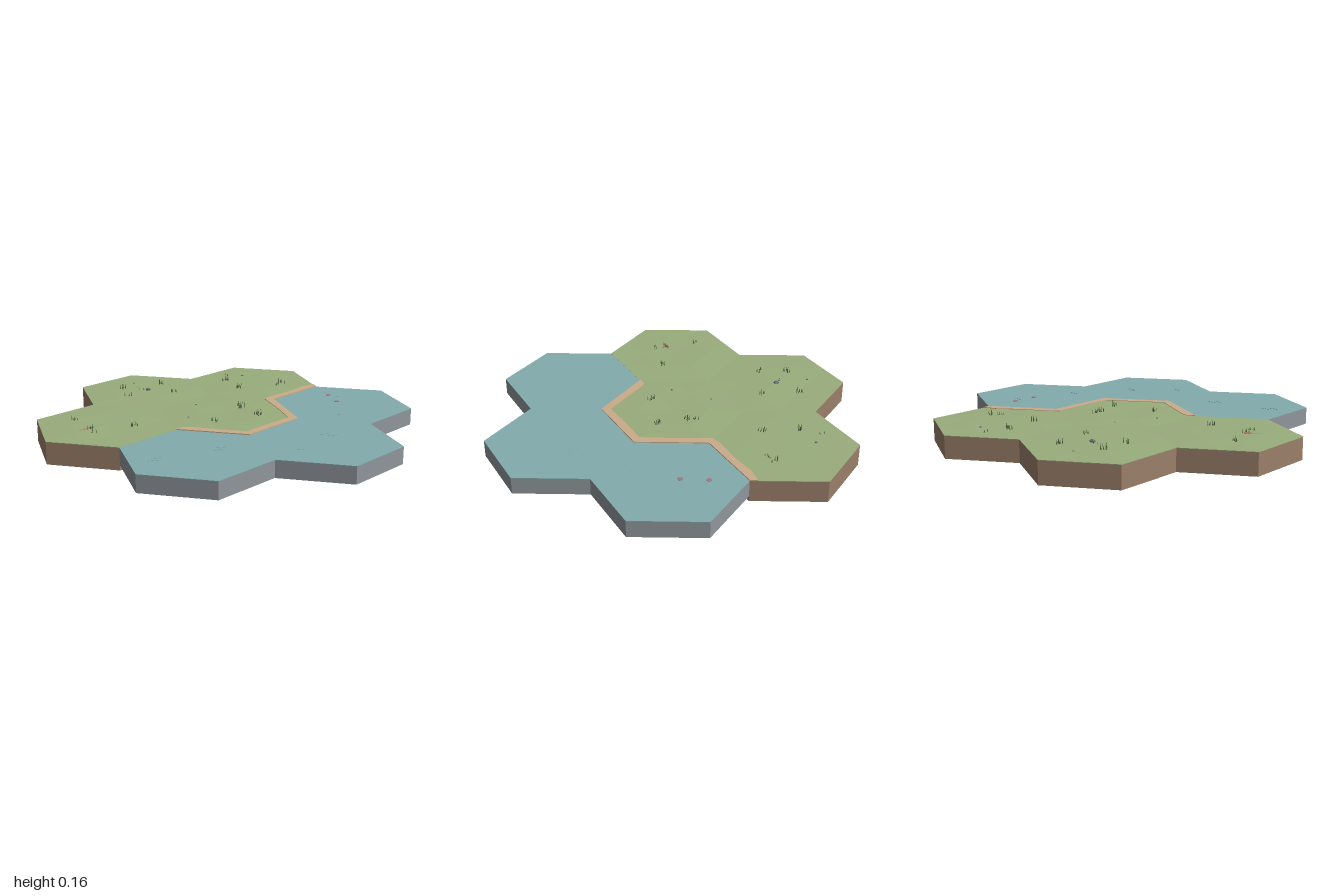
import * as THREE from 'three';
import { mergeGeometries } from 'three/addons/utils/BufferGeometryUtils.js';

const W = 1 / 3;               // half width of a hexagon
const R = W / Math.cos(Math.PI / 6); // corner radius
const LAND_Y = 0.12, WATER_Y = 0.119;

const mat = (name, color, extra = {}) => {
  const m = new THREE.MeshStandardMaterial({ color, flatShading: true, ...extra });
  m.name = name;
  return m;
};

// Small seeded generator
function seeded(seed) {
  let s = seed;
  return () => (s = (s * 16807) % 2147483647) / 2147483647;
}

// Hexagonal prism with corners pointing along z
function hexPrism([x, z], y0, y1) {
  return new THREE.CylinderGeometry(R, R, y1 - y0, 6).translate(x, (y0 + y1) / 2, z);
}

// Faceted hexagon top: flat at the rim, gently uneven inside
function hexTop([cx, cz], y, bump, rand) {
  const pos = [];
  const at = (i, r, h) => {
    const a = i * Math.PI / 3;
    return [cx + Math.sin(a) * r, y + h, cz + Math.cos(a) * r];
  };
  const centre = [cx, y + bump * rand(), cz];
  const spokes = [];
  for (let i = 0; i < 6; i++) spokes.push(at(i, R / 2, bump * rand()));
  for (let i = 0; i < 6; i++) {
    const a = spokes[i], b = spokes[(i + 1) % 6];
    const p = at(i, R, 0), q = at(i + 1, R, 0);
    const m = [(p[0] + q[0]) / 2, y, (p[2] + q[2]) / 2];
    pos.push(...centre, ...a, ...b, ...a, ...p, ...m, ...a, ...m, ...b, ...b, ...m, ...q);
  }
  const g = new THREE.BufferGeometry();
  g.setAttribute('position', new THREE.Float32BufferAttribute(pos, 3));
  g.computeVertexNormals();
  return g;
}

// Tuft of thin blades leaning outward
function tuft(x, z, count, size, rand) {
  const blades = [];
  for (let i = 0; i < count; i++) {
    const h = size * (0.6 + 0.4 * rand());
    const a = rand() * Math.PI * 2, d = 0.022 * Math.sqrt(rand());
    const g = new THREE.ConeGeometry(0.0035, h, 3).translate(0, h / 2, 0);
    g.rotateZ((rand() - 0.5) * 0.5).rotateY(a);
    blades.push(g.translate(x + Math.cos(a) * d, LAND_Y + 0.001, z + Math.sin(a) * d));
  }
  return mergeGeometries(blades);
}

export function createModel() {
  const model = new THREE.Group();
  model.name = 'hexTerrain';
  const rand = seeded(4711);
  const add = (name, geometry, material) => {
    const mesh = new THREE.Mesh(geometry, material);
    mesh.name = name;
    model.add(mesh);
    return mesh;
  };

  const grass = mat('grass green', 0x99ad7c);
  const water = mat('water teal', 0x82abac);
  const soil = mat('soil brown', 0x9b7f6a);
  const bed = mat('bed grey', 0x8f969b);
  const sand = mat('sand', 0xc9ab88);
  const blade = mat('blade green', 0x58704a);
  const stone = mat('stone slate', 0x62697a);
  const wood = mat('wood red brown', 0xa5735f);
  const lily = mat('lily mauve', 0xa37880);

  const z = R * 1.5;
  const land = [[0, 0], [-2 * W, 0], [-W, -z], [W, -z]];
  const lake = [[2 * W, 0], [-W, z], [W, z]];

  // Soil blocks with a thin grass skin
  land.forEach((c) => {
    add('soilBlock', hexPrism(c, 0, 0.117), soil);
    add('grassEdge', hexPrism(c, 0.117, LAND_Y - 0.0005), grass);
    add('grassTop', hexTop(c, LAND_Y, 0.006, rand), grass);
  });

  // Shallower lake blocks with a thin water skin
  lake.forEach((c) => {
    add('lakeBlock', hexPrism(c, 0.027, 0.116), bed);
    add('waterEdge', hexPrism(c, 0.116, WATER_Y - 0.0005), water);
    add('waterTop', hexTop(c, WATER_Y, 0.001, rand), water);
  });

  // Sand strip along the shore, in x and z, then back along its inner side
  const shore = new THREE.Shape([
    [2 * W, -R], [W, -R / 2], [W, R / 2], [0, R], [-W, R / 2],
    [-0.295, 0.168], [-0.26, 0.178], [-0.14, 0.25], [0, 0.335], [0.14, 0.25], [0.288, 0.165],
    [0.292, 0.02], [0.286, -0.21], [0.335, -0.25], [0.48, -0.325], [0.59, -0.4], [2 * W, -0.425],
  ].map(([x, d]) => new THREE.Vector2(x, -d)));
  const strip = new THREE.ExtrudeGeometry(shore, { depth: 0.006, bevelEnabled: false });
  add('sandShore', strip.rotateX(-Math.PI / 2).translate(0, 0.118, 0), sand);

  // Grass tufts: x, z, blade count, height
  [
    [-0.45, -0.65, 8, 0.036], [-0.21, -0.70, 7, 0.034], [-0.18, -0.49, 5, 0.030],
    [-0.45, -0.49, 5, 0.030], [-0.35, -0.60, 4, 0.022], [0.19, -0.67, 7, 0.036],
    [0.21, -0.47, 7, 0.036], [0.50, -0.52, 4, 0.038], [0.46, -0.48, 4, 0.024],
    [-0.81, -0.11, 6, 0.032], [-0.75, 0.06, 5, 0.030], [-0.74, 0.12, 4, 0.030],
    [-0.53, 0.07, 6, 0.030], [0.10, -0.13, 4, 0.030], [0.10, -0.08, 7, 0.038],
    [0.14, 0.08, 8, 0.038], [-0.11, 0.12, 6, 0.034], [0.24, -0.78, 2, 0.020],
  ].forEach(([x, d, n, h]) => add('grassTuft', tuft(x, d, n, h, rand), blade));

  // Stones
  [[-0.31, -0.58, 0.016], [0.32, -0.74, 0.008], [-0.36, -0.76, 0.006],
    [-0.12, -0.21, 0.006], [-0.22, 0.01, 0.006]].forEach(([x, d, r]) => {
    const rock = add('stone', new THREE.DodecahedronGeometry(r), stone);
    rock.scale.y = 0.7;
    rock.position.set(x, LAND_Y + r * 0.4, d);
  });

  // Fallen branch
  const branch = add('fallenBranch', new THREE.ConeGeometry(0.012, 0.085, 5).rotateZ(Math.PI / 2), wood);
  branch.scale.y = 0.4;
  branch.rotation.y = 0.42;
  branch.position.set(-0.79, LAND_Y + 0.004, 0.065);

  // Lily pads
  [[0.665, -0.19], [0.66, -0.05]].forEach(([x, d]) => {
    const pad = add('lilyPad', new THREE.CylinderGeometry(0.014, 0.014, 0.003, 8), lily);
    pad.position.set(x, WATER_Y + 0.002, d);
  });

  // Ripples
  [[-0.55, 0.62], [-0.52, 0.59], [-0.22, 0.56], [-0.19, 0.53], [0.17, 0.67],
    [0.37, 0.48], [0.40, 0.51], [0.57, 0.19], [0.70, -0.14]].forEach(([x, d]) => {
    const ripple = add('ripple', new THREE.BoxGeometry(0.05, 0.002, 0.003), water);
    ripple.position.set(x, WATER_Y + 0.001, d);
  });

  return model;
}
